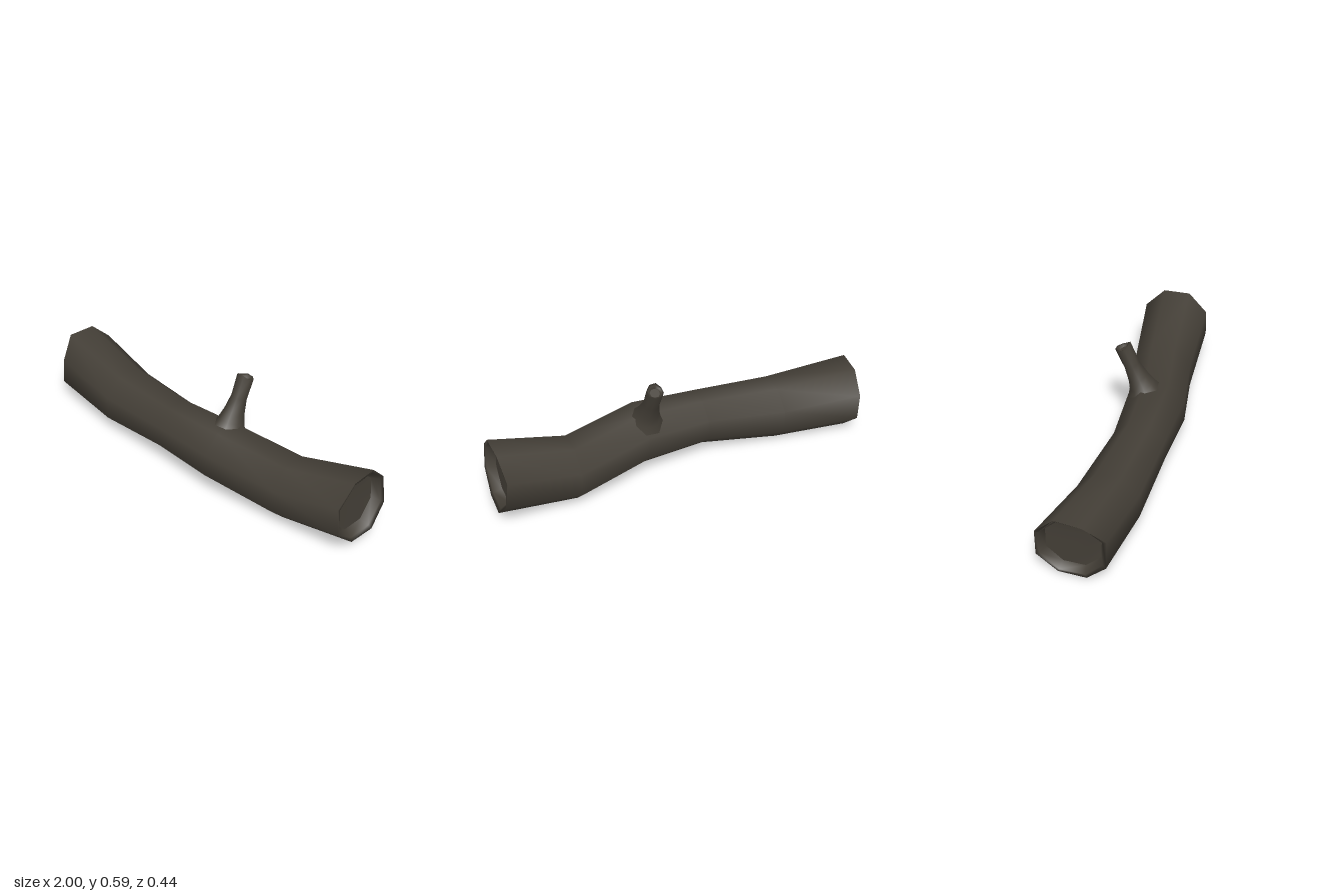
import * as THREE from 'three';

const SIDES = 8;
const bark = new THREE.MeshStandardMaterial({ color: 0x443f37 });

// Octagonal ring around a centre, u and v being its axes; jag shifts each corner along the axis d
function ring(centre, d, u, v, half, jag = []) {
  const r = half / Math.cos(Math.PI / SIDES);
  return Array.from({ length: SIDES }, (_, k) => {
    const t = ((k + 0.5) / SIDES) * Math.PI * 2;
    return centre.clone()
      .addScaledVector(u, Math.cos(t) * r)
      .addScaledVector(v, Math.sin(t) * r)
      .addScaledVector(d, jag[k] || 0);
  });
}

// Smooth skin through successive rings
function loft(name, rings) {
  const index = [];
  for (let i = 0; i < rings.length - 1; i++) {
    for (let k = 0; k < SIDES; k++) {
      const n = (k + 1) % SIDES;
      const a = i * SIDES + k, b = i * SIDES + n;
      index.push(a, a + SIDES, b, b, a + SIDES, b + SIDES);
    }
  }
  return meshOf(name, rings.flat(), index);
}

// Flat fan closing the first or the last ring of a loft
function cap(name, points, atStart) {
  const index = [];
  for (let k = 1; k < SIDES - 1; k++) index.push(0, atStart ? k : k + 1, atStart ? k + 1 : k);
  return meshOf(name, points, index);
}

function meshOf(name, points, index) {
  const geometry = new THREE.BufferGeometry().setFromPoints(points);
  geometry.setIndex(index);
  geometry.computeVertexNormals();
  const mesh = new THREE.Mesh(geometry, bark);
  mesh.name = name;
  return mesh;
}

function createLog() {
  const log = new THREE.Group();
  log.name = 'log';
  const X = new THREE.Vector3(1, 0, 0), Y = new THREE.Vector3(0, 1, 0), Z = new THREE.Vector3(0, 0, 1);
  const section = ([x, y, z, half], jag) => ring(new THREE.Vector3(x, y, z), X, Z, Y, half, jag);

  // Bends of the trunk: x, y, z, half width
  const bends = [
    [-0.56, 0.156, 0.018, 0.154],
    [-0.15, 0.192, 0.064, 0.133],
    [0.19, 0.199, 0.068, 0.15],
    [0.58, 0.154, 0.007, 0.154],
  ];
  // Uneven broken ends
  const leftJag = [0.005, -0.04, -0.02, 0, 0.005, 0.02, 0.01, -0.01];
  const rightJag = [-0.01, 0, 0, -0.01, 0.01, 0.02, 0.01, 0];
  const left = (half, inset) => section([-0.96 + inset, 0.183, -0.05, half], leftJag.map((j) => inset ? j * 0.5 : j));
  const right = (half, inset) => section([0.98 - inset, 0.253, -0.012, half], rightJag.map((j) => inset ? j * 0.5 : j));

  const leftInner = left(0.135, 0.05), rightInner = right(0.137, 0.05);
  log.add(loft('trunk', [
    leftInner, left(0.153, 0.005), left(0.171, 0),
    ...bends.map((b) => section(b)),
    right(0.173, 0), right(0.156, 0.005), rightInner,
  ]));
  log.add(cap('leftCutFace', leftInner, true), cap('rightCutFace', rightInner, false));
  return log;
}

function createBranch() {
  const branch = new THREE.Group();
  branch.name = 'branch';
  const d = new THREE.Vector3(0, 0.9, -0.43).normalize();
  const u = new THREE.Vector3(1, 0, 0);
  const v = u.clone().cross(d);
  const at = (y, z, half, jag) => ring(new THREE.Vector3(0.165, y, z), d, u, v, half, jag);
  const jag = [-0.008, 0.004, 0.006, -0.008, -0.006, 0.002, 0, -0.006];

  // Flared foot, narrow neck, splintered hollow tip
  const inner = at(0.548, -0.098, 0.024);
  branch.add(loft('branchStem', [
    at(0.305, 0.008, 0.085), at(0.345, -0.004, 0.064), at(0.39, -0.024, 0.05), at(0.46, -0.058, 0.038),
    at(0.565, -0.105, 0.04, jag), at(0.562, -0.104, 0.031, jag), inner,
  ]));
  branch.add(cap('branchTip', inner, false));
  return branch;
}

export function createModel() {
  const model = new THREE.Group();
  model.name = 'logWithBranch';
  model.add(createLog(), createBranch());
  return model;
}
